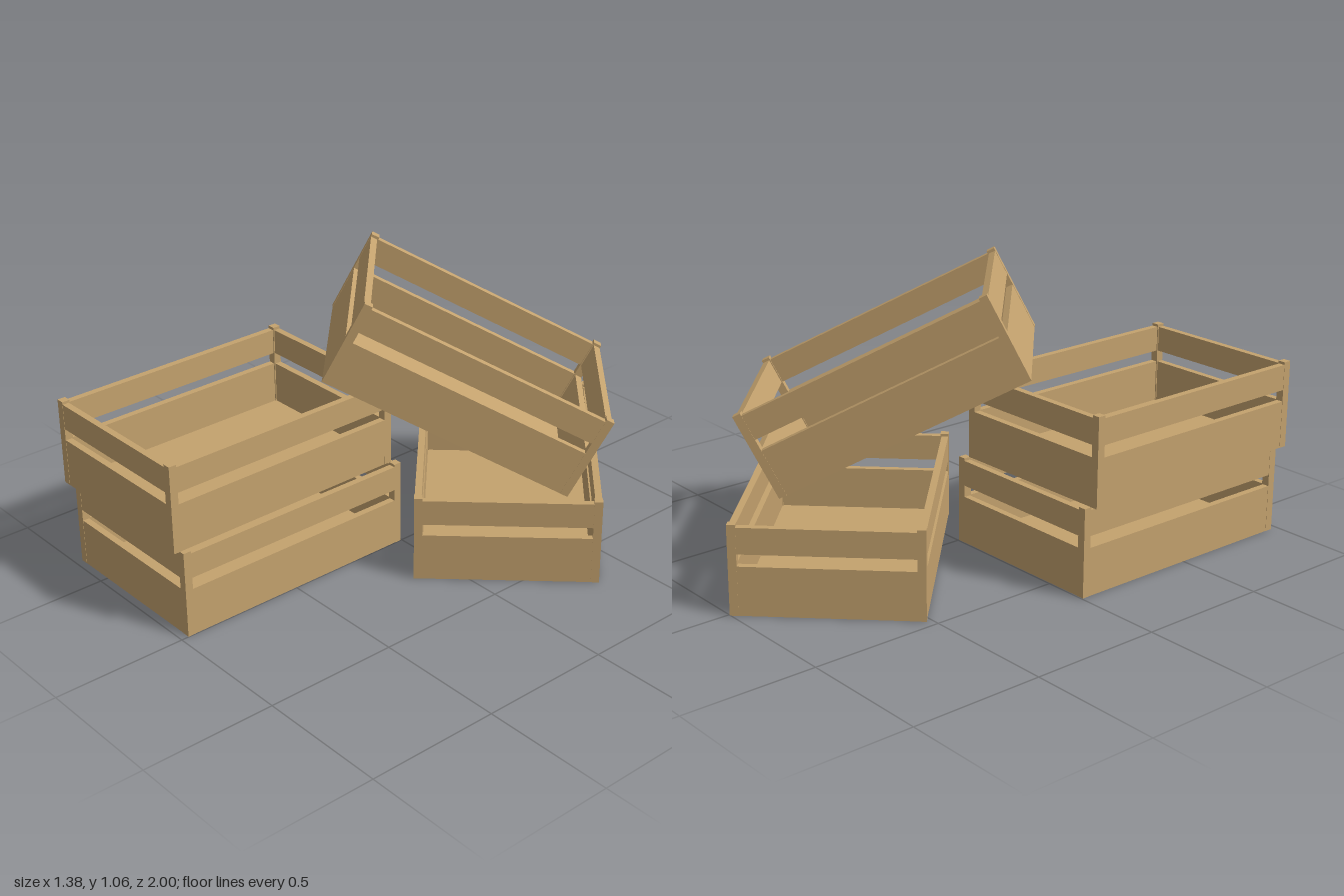
import * as THREE from 'three';

const W = 0.665, L = 0.967, H = 0.33; // crate width, length, post height
const POST = 0.03, BOARD = 0.025, INSET = 0.001;

function createCrate(name, wood) {
  const crate = new THREE.Group();
  crate.name = name;
  const box = (part, w, h, d, x, y, z) => {
    const mesh = new THREE.Mesh(new THREE.BoxGeometry(w, h, d), wood);
    mesh.name = part;
    mesh.position.set(x, y, z);
    crate.add(mesh);
  };

  box('floor', W - 0.004, 0.022, L - 0.004, 0, 0.011, 0);

  // Corner posts, standing a little above the boards
  for (const sx of [-1, 1]) for (const sz of [-1, 1]) {
    box('cornerPost', POST, H, POST, sx * (W - POST) / 2, H / 2, sz * (L - POST) / 2);
  }

  // A wide lower board and a narrow upper board on each side, with a gap between
  for (const [part, bottom, top] of [['lowerBoard', 0, 0.18], ['upperBoard', 0.224, 0.32]]) {
    const h = top - bottom, y = (top + bottom) / 2;
    for (const s of [-1, 1]) {
      box(part, W - 2 * POST, h, BOARD, 0, y, s * ((L - BOARD) / 2 - INSET));
      box(part, BOARD, h, L - 2 * POST, s * ((W - BOARD) / 2 - INSET), y, 0);
    }
  }
  return crate;
}

export function createModel() {
  const wood = new THREE.MeshStandardMaterial({ color: 0xc4a26e });
  wood.name = 'wood';
  const model = new THREE.Group();
  model.name = 'crateStack';

  // name, base centre, pitch, yaw
  const crates = [
    ['lowerFrontCrate', [-0.333, 0, 0.488], 0, 0],
    ['upperFrontCrate', [-0.356, 0.33, 0.514], 0, 0.008],
    ['lowerBackCrate', [0.112, 0, -0.428], 0, 0.807],
    ['leaningCrate', [0.036, 0.545, -0.186], -0.475, -0.748],
  ];
  for (const [name, position, pitch, yaw] of crates) {
    const crate = createCrate(name, wood);
    crate.position.set(...position);
    crate.rotation.set(pitch, yaw, 0, 'YXZ');
    model.add(crate);
  }
  return model;
}
